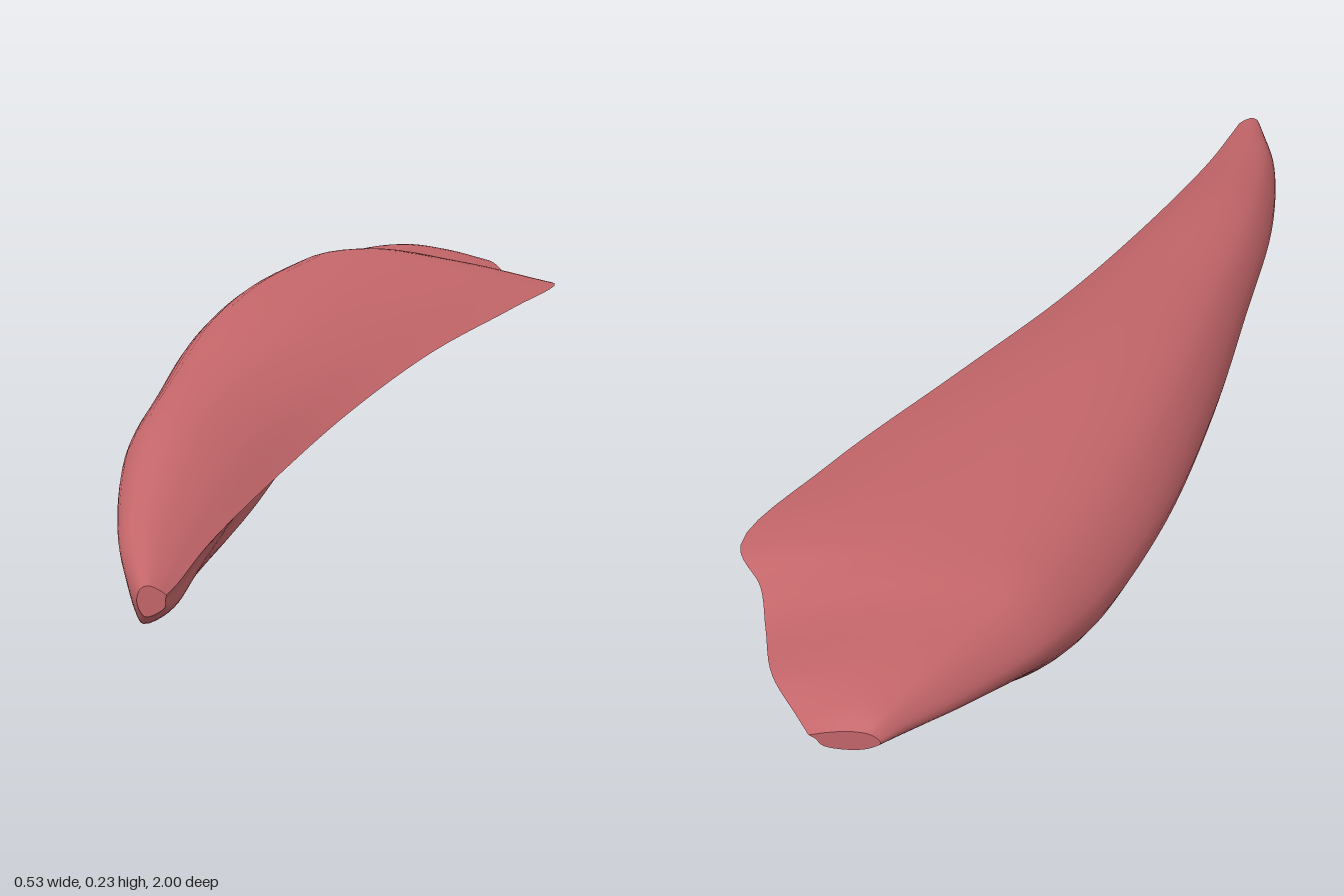
import * as THREE from 'three';
import { mergeVertices } from 'three/addons/utils/BufferGeometryUtils.js';

// Cross-sections from the thin tendon end to the blunt end:
// z, left x/y, right rim x/y, keel x/y, groove x/y, crest y
const SECTIONS = [
  [1.0, -0.2, 0.036, -0.168, 0.042, -0.19, 0.018, -0.17, 0.028, 0.052],
  [0.95, -0.212, 0.04, -0.16, 0.045, -0.197, 0.0, -0.163, 0.02, 0.06],
  [0.8, -0.24, 0.062, -0.138, 0.06, -0.168, 0.012, -0.147, 0.034, 0.09],
  [0.5, -0.263, 0.098, -0.075, 0.09, -0.12, 0.032, -0.115, 0.058, 0.15],
  [0.2, -0.256, 0.115, 0.0, 0.122, -0.092, 0.044, -0.085, 0.082, 0.182],
  [-0.1, -0.246, 0.13, 0.095, 0.155, -0.07, 0.052, -0.063, 0.102, 0.212],
  [-0.4, -0.22, 0.142, 0.203, 0.177, -0.048, 0.06, -0.045, 0.12, 0.226],
  [-0.62, -0.178, 0.15, 0.264, 0.186, -0.022, 0.052, -0.018, 0.108, 0.23],
  [-0.7, -0.152, 0.155, 0.223, 0.18, -0.01, 0.064, 0.045, 0.104, 0.228],
  [-0.78, -0.118, 0.162, 0.2, 0.174, 0.045, 0.092, 0.155, 0.134, 0.218],
  [-0.9, -0.048, 0.172, 0.166, 0.188, 0.06, 0.138, 0.125, 0.152, 0.213],
  [-0.97, 0.003, 0.178, 0.124, 0.184, 0.06, 0.155, 0.1, 0.163, 0.202],
  [-1.0, 0.025, 0.178, 0.105, 0.181, 0.06, 0.166, 0.09, 0.169, 0.19],
];
const AROUND = 48;
const STEPS = 6;
const mix = THREE.MathUtils.lerp;

// One loop: from the thin right rim over the crest, round the left, under the keel and back
function sectionLoop([z, lx, ly, rx, ry, kx, ky, gx, gy, top]) {
  const p = (x, y) => new THREE.Vector3(x, y, z);
  return new THREE.CatmullRomCurve3([
    p(rx, ry),
    p(mix(lx, rx, 0.72), mix(top, ry, 0.38)),
    p(mix(lx, rx, 0.38), top),
    p(mix(lx, rx, 0.12), mix(ly, top, 0.77)),
    p(lx, ly),
    p(mix(lx, kx, 0.35), mix(ly, ky, 0.65)),
    p(kx, ky),
    p(gx, gy),
    p(mix(gx, rx, 0.5), mix(gy, ry, 0.66)),
    p(rx, ry),
  ]).getPoints(AROUND);
}

// Loft the loops, smoothing lengthwise through the sections
function bellyGeometry() {
  const loops = SECTIONS.map(sectionLoop);
  const rows = (SECTIONS.length - 1) * STEPS;
  const w = AROUND + 1;
  const lines = [];
  for (let j = 0; j < w; j++) {
    lines.push(new THREE.CatmullRomCurve3(loops.map((l) => l[j])).getPoints(rows));
  }
  const pos = [];
  const index = [];
  for (let i = 0; i <= rows; i++) {
    for (let j = 0; j < w; j++) pos.push(...lines[j][i].toArray());
  }
  for (let i = 0; i < rows; i++) {
    for (let j = 0; j < AROUND; j++) {
      const a = i * w + j;
      const c = a + w;
      index.push(a, c, a + 1, a + 1, c, c + 1);
    }
  }
  return finish(pos, index);
}

// Flat closing face at one end
function capGeometry(section, facesFront) {
  const loop = sectionLoop(section);
  const centre = loop.reduce((s, v) => s.add(v), new THREE.Vector3()).divideScalar(loop.length);
  const pos = centre.toArray();
  loop.forEach((v) => pos.push(...v.toArray()));
  const index = [];
  for (let j = 1; j <= AROUND; j++) index.push(0, ...(facesFront ? [j, j + 1] : [j + 1, j]));
  return mergeVertices(finish(pos, index));
}

function finish(pos, index) {
  const g = new THREE.BufferGeometry();
  g.setAttribute('position', new THREE.Float32BufferAttribute(pos, 3));
  g.setIndex(index);
  g.computeVertexNormals();
  return g;
}

export function createModel() {
  const group = new THREE.Group();
  group.name = 'muscle';
  const red = new THREE.MeshStandardMaterial({ color: 0xc4666a });
  red.name = 'muscle red';
  const add = (name, geometry) => {
    const mesh = new THREE.Mesh(geometry, red);
    mesh.name = name;
    group.add(mesh);
  };
  add('muscleBelly', bellyGeometry());
  add('frontEnd', capGeometry(SECTIONS[0], true));
  add('backEnd', capGeometry(SECTIONS[SECTIONS.length - 1], false));
  return group;
}
